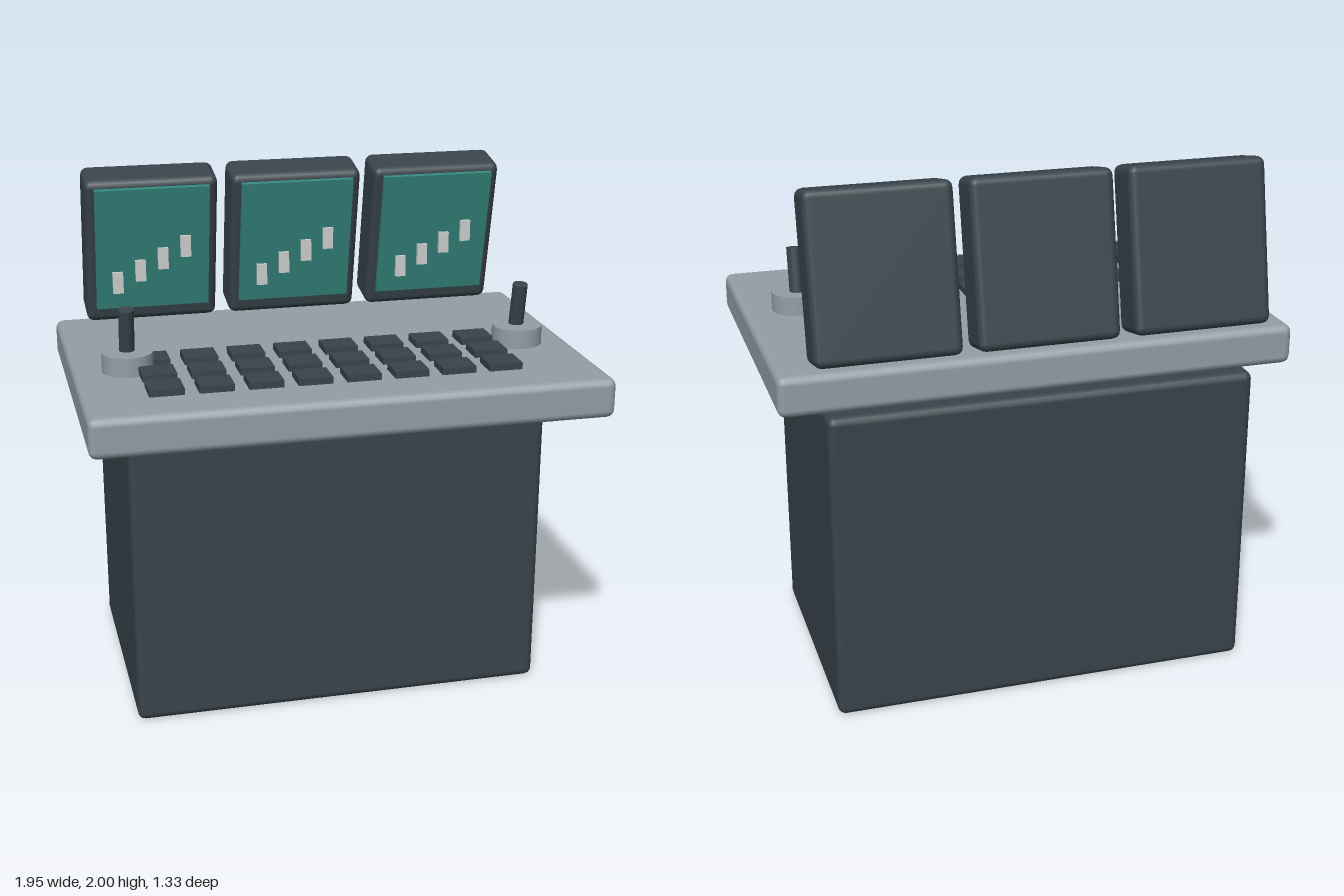
import * as THREE from 'three';
import { RoundedBoxGeometry } from 'three/addons/geometries/RoundedBoxGeometry.js';

const paint = (name, color) => {
  const m = new THREE.MeshStandardMaterial({ color });
  m.name = name;
  return m;
};

export function createModel() {
  const dark = paint('dark slate', 0x38444b);
  const grey = paint('light grey', 0x929fa6);
  const teal = paint('screen teal', 0x35877f);
  const pale = paint('pale grey', 0xcacdcd);

  const model = new THREE.Group();
  model.name = 'controlConsole';

  function add(parent, name, geometry, material, x, y, z, tilt = 0) {
    const mesh = new THREE.Mesh(geometry, material);
    mesh.name = name;
    mesh.position.set(x, y, z);
    mesh.rotation.x = tilt;
    parent.add(mesh);
    return mesh;
  }

  // Cabinet and overhanging desk top
  add(model, 'cabinet', new RoundedBoxGeometry(1.615, 1.2, 1.01, 2, 0.03), dark, 0, 0.6, -0.125);
  add(model, 'deskTop', new RoundedBoxGeometry(1.945, 0.152, 1.272, 2, 0.03), grey, 0, 1.283, 0.034);

  // Three forward-tilted monitors, each with a screen and upright chart bars
  const caseGeo = new RoundedBoxGeometry(0.53, 0.613, 0.18, 2, 0.03);
  const screenGeo = new THREE.BoxGeometry(0.455, 0.515, 0.02);
  const barGeo = new THREE.BoxGeometry(0.042, 0.086, 0.015);
  for (const x of [-0.585, 0, 0.585]) {
    const monitor = new THREE.Group();
    monitor.name = 'monitor';
    monitor.position.set(x, 1.683, -0.515);
    monitor.rotation.x = 0.21;
    add(monitor, 'monitorCase', caseGeo, dark, 0, 0, 0);
    add(monitor, 'screen', screenGeo, teal, 0, 0.022, 0.1);
    model.add(monitor);
    for (let i = 0; i < 4; i++) {
      add(model, 'chartBar', barGeo, pale, x - 0.147 + 0.092 * i, 1.555 + 0.045 * i, -0.382);
    }
  }

  // Keyboard grid
  const keyGeo = new THREE.BoxGeometry(0.128, 0.026, 0.115);
  for (let row = 0; row < 3; row++) {
    for (let col = 0; col < 8; col++) {
      add(model, 'key', keyGeo, dark, -0.673 + 0.181 * col, 1.384, 0.11 + 0.17 * row);
    }
  }

  // Joysticks leaning forward on round bases
  const baseGeo = new THREE.CylinderGeometry(0.097, 0.097, 0.075, 32);
  const stickGeo = new THREE.CylinderGeometry(0.029, 0.029, 0.2, 20);
  for (const side of [-1, 1]) {
    add(model, 'joystickBase', baseGeo, grey, side * 0.766, 1.395, 0.138);
    add(model, 'joystickStick', stickGeo, dark, side * 0.766, 1.5, 0.14, 0.18);
  }

  return model;
}
